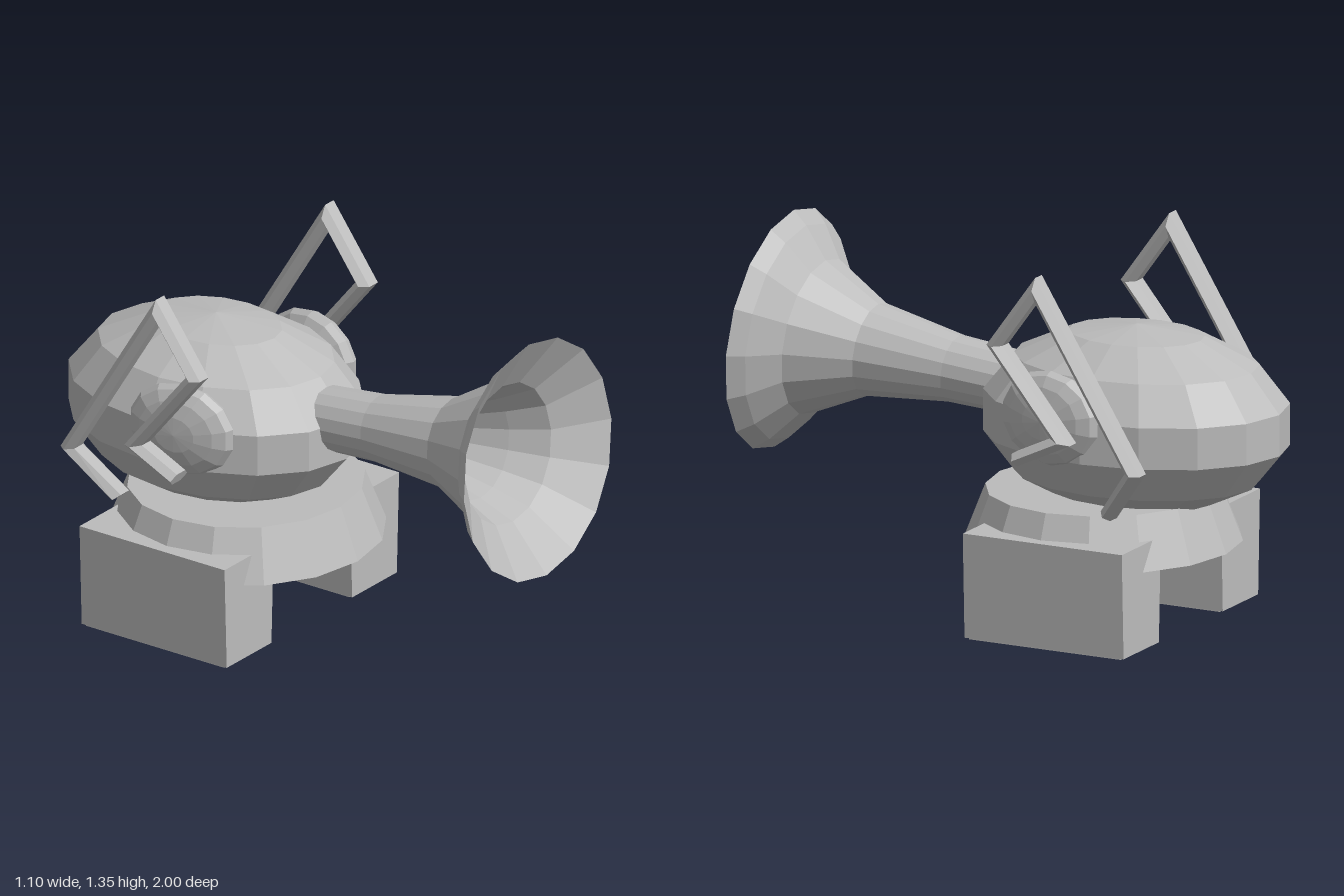
import * as THREE from 'three';

const grey = new THREE.MeshStandardMaterial({ color: 0xbcbcbc, flatShading: true });
grey.name = 'plain grey';

function part(name, geometry, x = 0, y = 0, z = 0) {
  const mesh = new THREE.Mesh(geometry, grey);
  mesh.name = name;
  mesh.position.set(x, y, z);
  return mesh;
}

// Flattened six-sided bar swept along a bent path, mitred in the y-z plane
function bentBar(path, halfWidth, halfDepth) {
  const sides = 6, pos = [], index = [];
  const dir = (a, b) => new THREE.Vector2(b[1] - a[1], b[2] - a[2]).normalize();
  path.forEach((p, i) => {
    const before = dir(path[Math.max(i - 1, 0)], path[Math.max(i, 1)]);
    const last = path.length - 1;
    const after = dir(path[Math.min(i, last - 1)], path[Math.min(i + 1, last)]);
    const t = before.clone().add(after).normalize();
    const depth = halfDepth / t.dot(before);
    for (let k = 0; k < sides; k++) {
      const a = (k / sides) * Math.PI * 2;
      const n = depth * Math.sin(a);
      pos.push(p[0] + halfWidth * Math.cos(a), p[1] + n * t.y, p[2] - n * t.x);
    }
  });
  for (let i = 0; i < path.length - 1; i++) {
    for (let k = 0; k < sides; k++) {
      const a = i * sides + k, b = i * sides + (k + 1) % sides;
      index.push(a, b, b + sides, a, b + sides, a + sides);
    }
  }
  const end = (path.length - 1) * sides;
  for (let k = 1; k < sides - 1; k++) {
    index.push(0, k + 1, k, end, end + k, end + k + 1);
  }
  const g = new THREE.BufferGeometry();
  g.setAttribute('position', new THREE.Float32BufferAttribute(pos, 3));
  g.setIndex(index);
  g.computeVertexNormals();
  return g;
}

// Foot block, slightly narrower at the bottom
function footBlock() {
  const g = new THREE.BoxGeometry(0.29, 0.38, 0.63);
  const p = g.attributes.position;
  for (let i = 0; i < p.count; i++) {
    if (p.getY(i) < 0) p.setX(i, p.getX(i) * 0.91);
  }
  g.computeVertexNormals();
  return g;
}

export function createModel() {
  const model = new THREE.Group();
  model.name = 'hornCreature';

  // Round body
  const body = new THREE.SphereGeometry(1, 16, 7).scale(0.435, 0.337, 0.58);
  model.add(part('body', body, 0, 0.74, -0.435));

  // Flared horn: outer wall, rim, inner funnel and throat disc
  const profile = [
    [0.112, -0.02], [0.12, 0.28], [0.167, 0.605], [0.28, 0.825], [0.39, 0.912], [0.435, 0.965],
    [0.255, 0.835], [0.19, 0.7], [0.078, 0.4], [0, 0.4],
  ].map(([r, t]) => new THREE.Vector2(r, t));
  const horn = part('horn', new THREE.LatheGeometry(profile, 16), 0, 0.8, 0);
  horn.rotation.x = Math.PI / 2 - 0.088;
  model.add(horn);

  // Sloping base plate
  const base = new THREE.CylinderGeometry(0.85, 1, 0.19, 16).scale(0.5, 1, 0.485);
  base.scale(1.02, 1, 1);
  model.add(part('base', base, 0, 0.38, -0.305));

  for (const [side, s] of [['left', 1], ['right', -1]]) {
    // Foot
    model.add(part(side + 'Foot', footBlock(), s * 0.37, 0.195, -0.335));
    const sole = new THREE.BoxGeometry(0.255, 0.012, 0.6);
    model.add(part(side + 'Sole', sole, s * 0.37, 0.006, -0.335));

    // Shoulder pad on the flank
    const pad = new THREE.SphereGeometry(1, 14, 8).rotateZ(Math.PI / 2).scale(0.07, 0.172, 0.208);
    const shoulder = part(side + 'Shoulder', pad, s * 0.385, 0.807, -0.3);
    shoulder.rotation.y = -0.14 * s;
    model.add(shoulder);

    // Jointed arm folded beside the body
    const path = [
      [s * 0.415, 0.495, -0.545], [s * 0.5, 0.68, -0.695], [s * 0.5, 1.305, -0.31],
      [s * 0.5, 1.085, -0.15], [s * 0.5, 0.765, -0.41], [s * 0.5, 0.68, -0.23],
    ];
    model.add(part(side + 'Arm', bentBar(path, 0.05, 0.028)));
  }
  return model;
}
